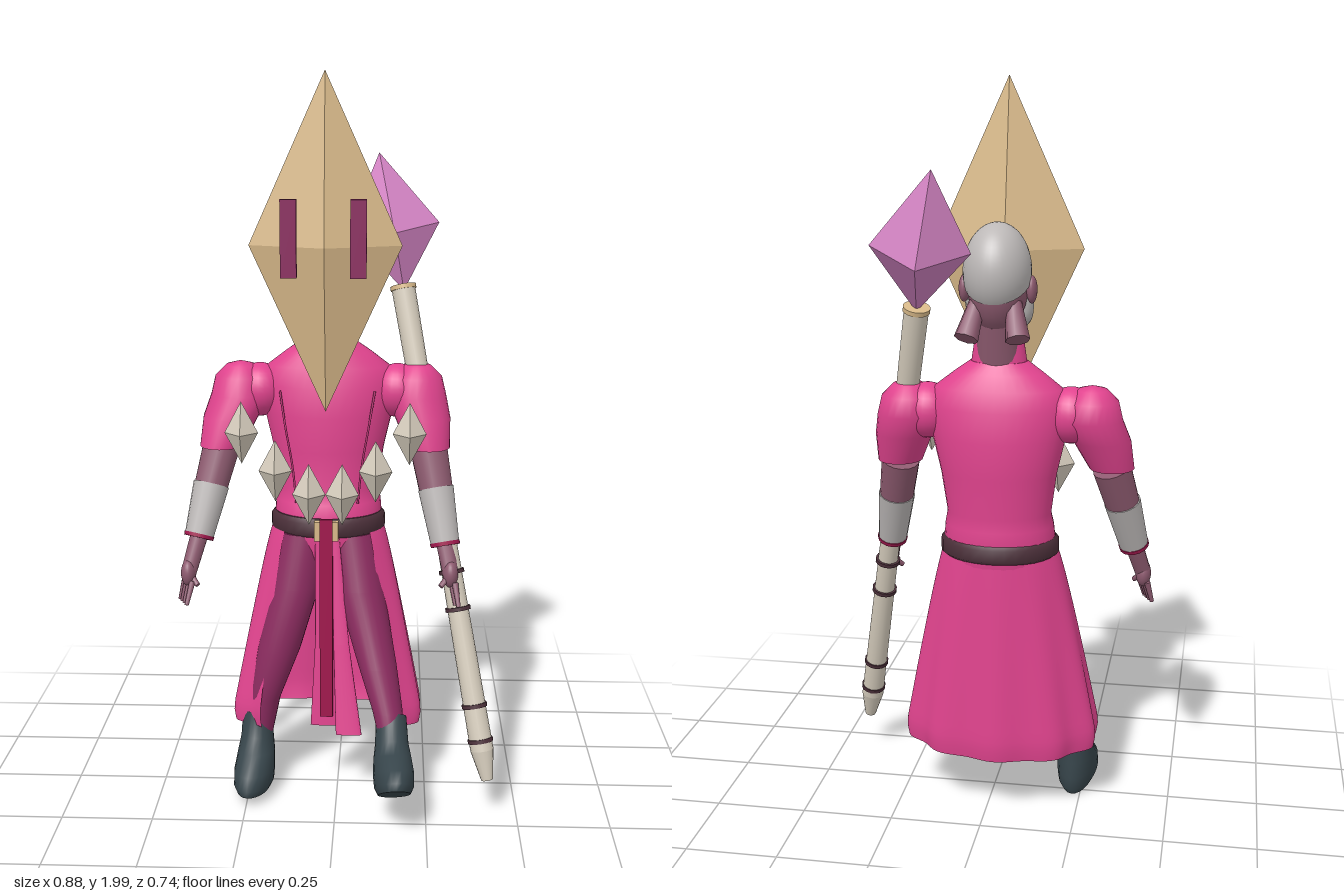
import * as THREE from 'three';

const mat = (name, color) => Object.assign(new THREE.MeshStandardMaterial({ color }), { name });
const pink = mat('pink cloth', 0xe2448f), plum = mat('plum cloth', 0x8c2c60), tan = mat('tan', 0xd9ba8a),
  violet = mat('violet crystal', 0xd585c5), skin = mat('mauve skin', 0x8e5b70), grey = mat('light grey', 0xbdb9b8),
  bone = mat('bone', 0xd6cdbd), slate = mat('slate boot', 0x37454b), brown = mat('dark brown', 0x4c303a),
  crimson = mat('crimson', 0xa2184e);
pink.side = THREE.DoubleSide;

const V = (a) => new THREE.Vector3(...a);

export function createModel() {
  const root = new THREE.Group();
  const add = (name, geo, material, pos = [0, 0, 0], scale = [1, 1, 1]) => {
    const m = new THREE.Mesh(geo, material);
    m.name = name;
    m.position.set(...pos);
    m.scale.set(...scale);
    root.add(m);
    return m;
  };

  // closed skin through horizontal ellipses [x, y, z, rx, rz], listed bottom to top
  const loft = (rows, n = 24) => {
    const first = rows[0], last = rows[rows.length - 1];
    const flat = (r) => [r[0], r[1], r[2], 0, 0];
    const rings = [flat(first), first, ...rows, last, flat(last)];
    const p = [], idx = [];
    rings.forEach(([x, y, z, rx, rz], i) => {
      for (let j = 0; j < n; j++) {
        const a = (j / n) * Math.PI * 2;
        p.push(x + rx * Math.sin(a), y, z + rz * Math.cos(a));
        if (i < rings.length - 1) {
          const k = (j + 1) % n, A = i * n + j, B = i * n + k;
          idx.push(A, B, B + n, A, B + n, A + n);
        }
      }
    });
    const g = new THREE.BufferGeometry();
    g.setAttribute('position', new THREE.Float32BufferAttribute(p, 3));
    g.setIndex(idx);
    g.computeVertexNormals();
    return g;
  };

  // tapered round bar between two points
  const rod = (name, a, b, ra, rb, material, seg = 16) => {
    const d = V(b).sub(V(a));
    const m = add(name, new THREE.CylinderGeometry(rb, ra, d.length(), seg), material);
    m.position.copy(V(a).add(V(b)).multiplyScalar(0.5));
    m.quaternion.setFromUnitVectors(new THREE.Vector3(0, 1, 0), d.normalize());
  };
  const ball = (name, material, pos, scale) => add(name, new THREE.SphereGeometry(1, 24, 16), material, pos, scale);
  const gem = (name, material, pos, scale) => add(name, new THREE.OctahedronGeometry(1), material, pos, scale);

  // floating mask and its eye bars
  gem('mask', tan, [-0.031, 1.555, 0.044], [0.202, 0.445, 0.082]);
  for (const x of [-0.122, 0.058])
    add('eyeBar', new THREE.BoxGeometry(0.042, 0.2, 0.02), plum, [x, 1.58, 0.13]);

  // head, skull cap, beard, ears and neck flaps
  ball('head', skin, [-0.03, 1.48, -0.13], [0.078, 0.13, 0.098]);
  const cap = new THREE.SphereGeometry(1, 28, 16, 0, Math.PI * 2, 0, 1.8).rotateX(-0.42);
  add('skullCap', cap, grey, [-0.03, 1.517, -0.138], [0.088, 0.124, 0.11]);
  for (const s of [-1, 1]) {
    const x = (d) => -0.03 + s * d;
    ball('ear', skin, [x(0.088), 1.47, -0.13], [0.014, 0.036, 0.024]);
    const jaw = new THREE.CatmullRomCurve3([[x(0.076), 1.46, -0.115], [x(0.07), 1.4, -0.095],
      [x(0.05), 1.37, -0.06], [x(0.015), 1.35, -0.035]].map(V));
    add('jawWhiskers', new THREE.TubeGeometry(jaw, 16, 0.016, 8), grey);
    rod('neckFlap', [x(0.066), 1.355, -0.225], [x(0.045), 1.45, -0.165], 0.032, 0.02, skin, 8);
  }
  ball('beard', grey, [-0.03, 1.36, -0.035], [0.036, 0.035, 0.02]);
  add('neck', loft([[-0.03, 1.26, -0.11, 0.06, 0.055], [-0.03, 1.44, -0.14, 0.05, 0.06]]), skin);

  // robe body with collar, bulging just above the belt
  add('robeBody', loft([
    [-0.03, 0.66, -0.09, 0.148, 0.1], [-0.03, 0.74, -0.09, 0.152, 0.115], [-0.03, 0.8, -0.095, 0.15, 0.116],
    [-0.03, 0.835, -0.1, 0.147, 0.11], [-0.03, 0.87, -0.105, 0.14, 0.101], [-0.03, 0.98, -0.112, 0.155, 0.108],
    [-0.03, 1.08, -0.113, 0.178, 0.112], [-0.03, 1.16, -0.115, 0.187, 0.1], [-0.03, 1.21, -0.115, 0.17, 0.085],
    [-0.03, 1.25, -0.112, 0.118, 0.07], [-0.03, 1.28, -0.108, 0.075, 0.058]], 36), pink);
  add('collar', loft([[-0.03, 1.25, -0.108, 0.078, 0.06], [-0.03, 1.33, -0.108, 0.066, 0.052]]), pink);
  for (const s of [-1, 1]) {
    const path = new THREE.CatmullRomCurve3([[0.13, 1.15, -0.035], [0.115, 1.06, -0.01], [0.095, 0.94, -0.01], [0.085, 0.84, -0.004]]
      .map(([x, y, z]) => new THREE.Vector3(-0.03 + s * x, y, z)));
    add('robeSeam', new THREE.TubeGeometry(path, 16, 0.003, 6), pink);
  }

  // belt, buckle and hanging sash
  add('belt', loft([[-0.03, 0.748, -0.09, 0.15, 0.118], [-0.03, 0.757, -0.09, 0.16, 0.13],
    [-0.03, 0.79, -0.09, 0.16, 0.13], [-0.03, 0.802, -0.09, 0.15, 0.118]], 32), brown);
  add('buckle', new THREE.BoxGeometry(0.066, 0.055, 0.02), tan, [-0.03, 0.772, 0.035]);
  add('sash', new THREE.BoxGeometry(0.036, 0.58, 0.012), crimson, [-0.03, 0.52, 0.052]);

  // front cloth behind the sash, with a loose flap on the left
  add('frontPanel', loft([[-0.03, 0.2, 0.045, 0.045, 0.006], [-0.03, 0.45, 0.035, 0.032, 0.006],
    [-0.03, 0.75, 0.018, 0.032, 0.006]], 12), pink);
  add('frontFlap', loft([[0.035, 0.2, 0.108, 0.036, 0.006], [0.012, 0.45, 0.06, 0.022, 0.006],
    [-0.005, 0.75, 0.02, 0.01, 0.006]], 16), pink);

  // pleated skirt, open at the front, tucked in at the hem
  const skirt = new THREE.PlaneGeometry(1, 1, 120, 20);
  const sp = skirt.attributes.position;
  for (let i = 0; i < sp.count; i++) {
    const v = 0.5 - sp.getY(i);
    const open = THREE.MathUtils.lerp(0.85, 0.75, v);
    const a = open + (sp.getX(i) + 0.5) * (Math.PI * 2 - 2 * open);
    const flare = Math.pow(v, 0.85), pleat = 1 + 0.035 * v * Math.cos(a * 10);
    const r = pleat * (1 - 0.05 * Math.max(0, (v - 0.9) / 0.1) ** 2);
    sp.setXYZ(i, -0.03 + (0.153 + 0.124 * flare) * r * Math.sin(a), 0.77 - (0.58 - 0.014 * Math.cos(a)) * v,
      -0.085 + 0.042 * flare + (0.118 + 0.046 * flare) * r * Math.cos(a));
  }
  skirt.computeVertexNormals();
  add('skirt', skirt, pink);

  // trouser legs
  add('rightLeg', loft([[-0.222, 0.16, 0.01, 0.036, 0.036], [-0.208, 0.27, 0.008, 0.045, 0.046],
    [-0.165, 0.42, 0.01, 0.06, 0.06], [-0.12, 0.6, -0.025, 0.07, 0.07], [-0.1, 0.75, -0.06, 0.07, 0.075]]), plum);
  add('leftLeg', loft([[0.156, 0.2, 0.17, 0.032, 0.034], [0.142, 0.29, 0.132, 0.042, 0.048],
    [0.112, 0.4, 0.066, 0.054, 0.062], [0.06, 0.6, -0.012, 0.068, 0.07], [0.035, 0.75, -0.06, 0.07, 0.075]]), plum);

  // boots, wedge shaped with the toe raised
  const bootGeo = loft([[0, 0, 0.088, 0.044, 0.105], [0, 0.02, 0.088, 0.054, 0.115], [0, 0.055, 0.08, 0.056, 0.106],
    [0, 0.1, 0.055, 0.052, 0.072], [0, 0.14, 0.042, 0.046, 0.052], [0, 0.215, 0.044, 0.042, 0.044]]);
  const boot = (name, pos, tilt, yaw) => {
    const b = add(name, bootGeo, slate, pos);
    b.rotation.set(-tilt, yaw, 0, 'YXZ');
  };
  boot('rightBoot', [-0.228, 0.008, -0.012], 0.14, -0.09);
  boot('leftBoot', [0.158, 0.063, 0.207], 0.55, 0.07);

  // arms: sleeve, bare elbow, bracer, wrist band and hand
  const arm = (side, shoulder, elbow, wrist, hand) => {
    const mix = (t) => V(elbow).lerp(V(wrist), t).toArray();
    const [x, y, z] = shoulder, cuff = V(shoulder).lerp(V(elbow), 0.85).toArray();
    add(side + 'Sleeve', loft([[...cuff, 0.06, 0.066], [(x + cuff[0]) / 2, y - 0.06, (z + cuff[2]) / 2, 0.077, 0.078],
      [x, y, z, 0.082, 0.08], [x, y + 0.05, z, 0.07, 0.07], [x, y + 0.08, z, 0.04, 0.045], [x, y + 0.088, z, 0.012, 0.015]]), pink);
    ball(side + 'ShoulderJoin', pink, [x * 0.78 - 0.006, y + 0.01, z], [0.07, 0.075, 0.07]);
    rod(side + 'Elbow', cuff, mix(0.45), 0.052, 0.046, skin);
    rod(side + 'Bracer', mix(0.36), mix(0.97), 0.05, 0.04, grey);
    rod(side + 'WristBand', mix(0.955), mix(1), 0.042, 0.041, crimson);
    rod(side + 'Wrist', mix(0.98), hand, 0.025, 0.022, skin, 12);
    ball(side + 'Palm', skin, hand, [0.021, 0.038, 0.03]);
    const dir = V(hand).sub(V(wrist)).normalize();
    for (let i = 0; i < 4; i++) {
      const a = V(hand).add(new THREE.Vector3((i - 1.5) * 0.008, -0.02, (i - 1.5) * 0.012));
      const b = a.clone().addScaledVector(dir, 0.055).add(new THREE.Vector3(0, -0.01, (i - 1.5) * 0.005));
      rod(side + 'Finger', a.toArray(), b.toArray(), 0.009, 0.006, skin, 8);
    }
    const s = Math.sign(x);
    rod(side + 'Thumb', hand, [hand[0] - s * 0.028, hand[1] - 0.028, hand[2] + 0.025], 0.01, 0.007, skin, 8);
  };
  arm('right', [-0.275, 1.13, -0.108], [-0.335, 0.965, -0.055], [-0.385, 0.745, 0.025], [-0.41, 0.655, 0.06]);
  arm('left', [0.215, 1.13, -0.108], [0.255, 0.965, -0.055], [0.298, 0.73, 0.025], [0.312, 0.66, 0.06]);

  // floating row of small gems
  [1.06, 0.955, 0.89, 0.89, 0.955, 1.06].forEach((y, i) =>
    gem('chestGem', bone, [-0.255 + i * 0.09, y, 0.087], [0.045, 0.085, 0.045]));

  // staff with rings, tip and crystal
  const top = V([0.175, 1.42, -0.17]), foot = V([0.418, 0.11, 0.187]);
  const at = (t) => top.clone().lerp(foot, t).toArray();
  rod('staffUpper', at(0.45), at(0), 0.027, 0.033, bone);
  rod('staffLower', at(0.94), at(0.45), 0.032, 0.027, bone);
  rod('staffTip', at(1), at(0.94), 0.016, 0.032, bone);
  rod('staffCollar', at(0.006), at(-0.003), 0.036, 0.036, tan);
  for (const t of [0.58, 0.655, 0.85, 0.92]) rod('staffRing', at(t + 0.004), at(t - 0.004), 0.035, 0.035, brown);

  // skewed crystal: each octahedron corner moves to its own place
  const corners = [[0.275, 1.59, -0.26], [0.02, 1.57, -0.235], [0.105, 1.78, -0.303],
    [0.177, 1.41, -0.165], [0.15, 1.572, -0.12], [0.134, 1.542, -0.368]];
  const crystal = new THREE.OctahedronGeometry(1), cp = crystal.attributes.position;
  for (let i = 0; i < cp.count; i++) {
    const c = [cp.getX(i), cp.getY(i), cp.getZ(i)];
    const axis = c.findIndex((n) => Math.abs(n) > 0.5);
    cp.setXYZ(i, ...corners[axis * 2 + (c[axis] > 0 ? 0 : 1)]);
  }
  crystal.computeVertexNormals();
  add('staffCrystal', crystal, violet);

  return root;
}
